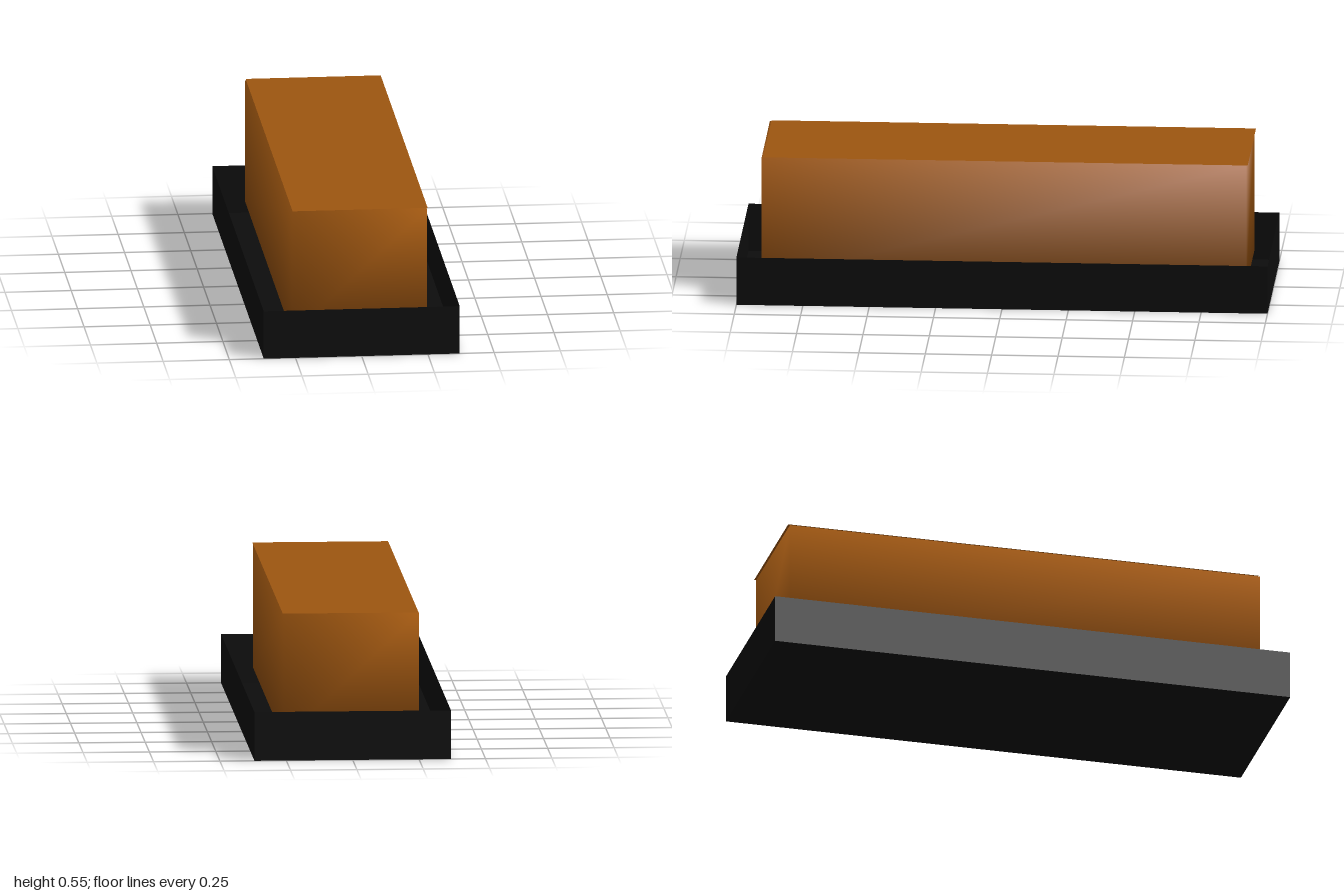
import * as THREE from 'three';

const BAR = { w: 0.51, h: 0.472, d: 1.825, y: 0.07 };
const TRAY = { w: 0.74, h: 0.185, d: 2 };

// Box whose corners carry shared, area-weighted normals, so its faces shade softly
function softBox(w, h, d) {
  const geo = new THREE.BoxGeometry(w, h, d);
  const pos = geo.attributes.position;
  const n = new THREE.Vector3();
  for (let i = 0; i < pos.count; i++) {
    n.set(
      Math.sign(pos.getX(i)) * h * d,
      Math.sign(pos.getY(i)) * w * d,
      Math.sign(pos.getZ(i)) * w * h
    ).normalize();
    geo.attributes.normal.setXYZ(i, n.x, n.y, n.z);
  }
  return geo;
}

export function createModel() {
  const model = new THREE.Group();
  model.name = 'barOnTray';

  const amber = new THREE.MeshStandardMaterial({ color: 0x9c5510 });
  const amberSheet = new THREE.MeshStandardMaterial({ color: 0x9c5510, side: THREE.DoubleSide });
  const black = new THREE.MeshStandardMaterial({ color: 0x0d0d0d, side: THREE.DoubleSide });

  const addPart = (parent, name, geo, mat, x, y, z) => {
    const mesh = new THREE.Mesh(geo, mat);
    mesh.name = name;
    mesh.position.set(x, y, z);
    parent.add(mesh);
    return mesh;
  };

  // Open-topped tray: floor and four thin walls
  const tray = new THREE.Group();
  tray.name = 'tray';
  model.add(tray);
  addPart(tray, 'trayFloor', new THREE.PlaneGeometry(TRAY.w, TRAY.d), black, 0, 0, 0).rotation.x = Math.PI / 2;
  for (const s of [1, -1]) {
    addPart(tray, s > 0 ? 'trayFrontWall' : 'trayBackWall',
      new THREE.PlaneGeometry(TRAY.w, TRAY.h), black,
      0, TRAY.h / 2, s * TRAY.d / 2).rotation.y = s > 0 ? 0 : Math.PI;
    addPart(tray, s > 0 ? 'trayLeftWall' : 'trayRightWall',
      new THREE.PlaneGeometry(TRAY.d, TRAY.h), black,
      s * TRAY.w / 2, TRAY.h / 2, 0).rotation.y = s * Math.PI / 2;
  }

  // Bar standing inside the tray
  addPart(model, 'bar', softBox(BAR.w, BAR.h, BAR.d), amber, 0, BAR.y + BAR.h / 2, 0);

  // Flat cover sheet, set a hair off centre on the bar
  addPart(model, 'barCover', new THREE.PlaneGeometry(BAR.w, BAR.d), amberSheet,
    0.003, 0.546, -0.006).rotation.x = -Math.PI / 2;

  return model;
}
